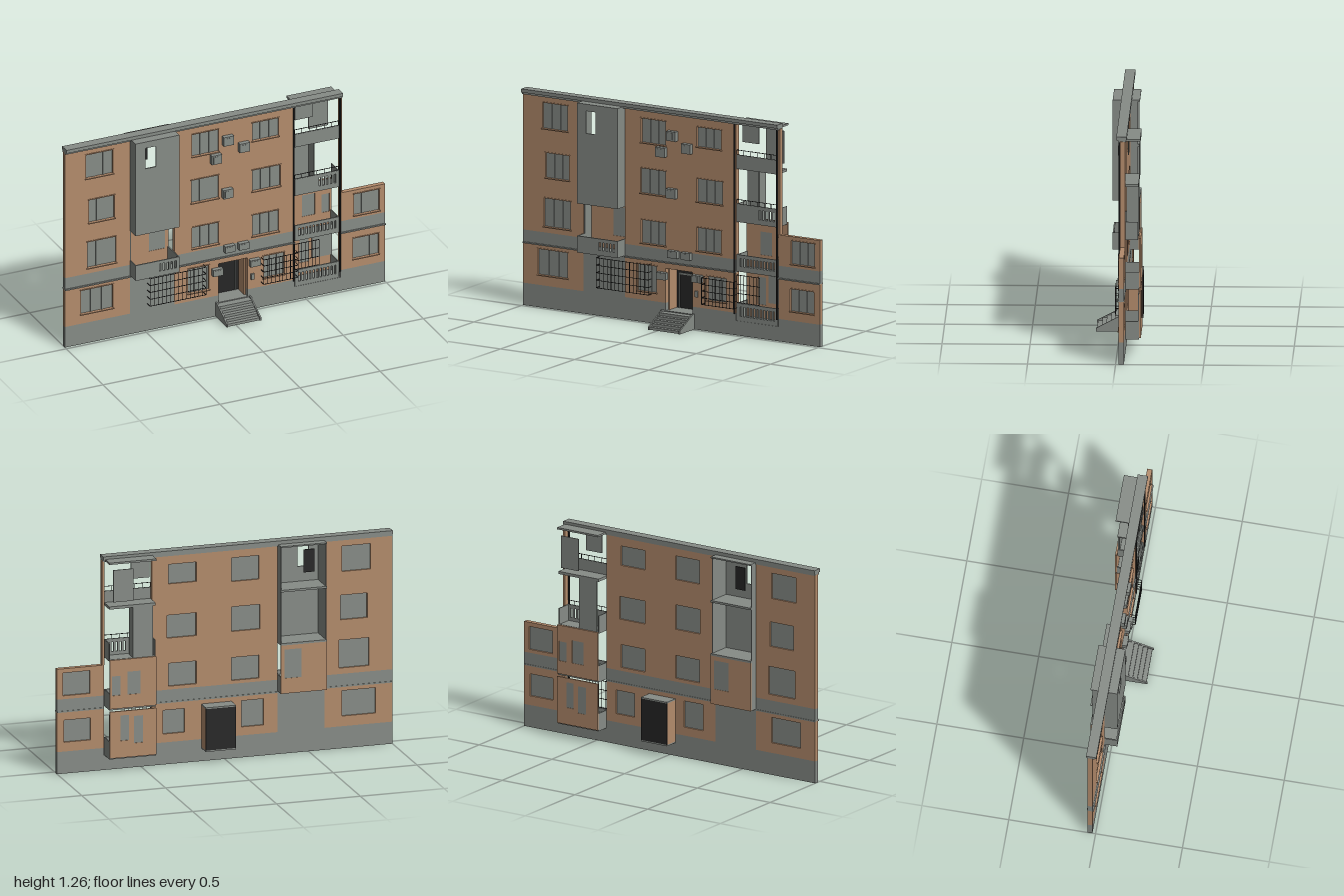
import * as THREE from 'three';

export function createModel() {
  const root = new THREE.Group();
  root.name = 'apartmentFacade';
  const mat = (name, color) => {
    const m = new THREE.MeshStandardMaterial({ color, side: THREE.DoubleSide });
    m.name = name;
    return m;
  };
  const brick = mat('brick', 0xb48c6c);
  const grey = mat('concreteGrey', 0x878c87);
  const black = mat('black', 0x262626);
  const BACK = -0.047, FRONT = -0.018;

  const group = (name) => {
    const g = new THREE.Group();
    g.name = name;
    root.add(g);
    return g;
  };
  // Box given by its limits on each axis
  const box = (parent, name, m, x0, x1, y0, y1, z0, z1) => {
    const mesh = new THREE.Mesh(new THREE.BoxGeometry(x1 - x0, y1 - y0, z1 - z0), m);
    mesh.position.set((x0 + x1) / 2, (y0 + y1) / 2, (z0 + z1) / 2);
    mesh.name = name;
    parent.add(mesh);
    return mesh;
  };
  // Upright slab with rectangular holes [x0, x1, y0, y1]
  const slab = (parent, name, m, x0, x1, y0, y1, z0, z1, holes = []) => {
    const rect = (p, a, b, c, d) => p.moveTo(a, c).lineTo(b, c).lineTo(b, d).lineTo(a, d).closePath();
    const shape = rect(new THREE.Shape(), x0, x1, y0, y1);
    for (const h of holes) shape.holes.push(rect(new THREE.Path(), ...h));
    const geo = new THREE.ExtrudeGeometry(shape, { depth: z1 - z0, bevelEnabled: false });
    const mesh = new THREE.Mesh(geo, m);
    mesh.position.z = z0;
    mesh.name = name;
    parent.add(mesh);
  };

  // Windows [x0, x1, y0, y1]
  const windows = [
    [-0.87, -0.7, 1.045, 1.195], [-0.85, -0.69, 0.76, 0.905], [-0.86, -0.68, 0.475, 0.64], [-0.9, -0.7, 0.19, 0.34],
    [-0.205, -0.04, 1.045, 1.185], [-0.21, -0.04, 0.75, 0.895], [-0.205, -0.04, 0.46, 0.595], [-0.23, -0.1, 0.18, 0.335],
    [0.17, 0.335, 1.065, 1.18], [0.17, 0.345, 0.745, 0.88], [0.17, 0.335, 0.46, 0.595], [0.24, 0.37, 0.18, 0.32],
    [0.805, 0.965, 0.46, 0.595], [0.8, 0.96, 0.185, 0.315],
  ];

  // Walls, pierced by the windows that fall inside each panel
  const walls = group('walls');
  const wall = (m, x0, x1, y0, y1) => slab(walls, m === brick ? 'brickWall' : 'greyWall', m, x0, x1, y0, y1, BACK, FRONT,
    windows.filter((w) => w[0] > x0 && w[1] < x1 && w[2] > y0 && w[3] < y1));
  wall(grey, -1, 1, 0, 0.085);
  for (const [a, b] of [[-1, -0.04], [0.14, 0.435], [0.72, 1]]) wall(grey, a, b, 0.085, 0.13);
  for (const [a, b] of [[-1, -0.595], [-0.315, -0.04], [0.14, 0.435], [0.72, 1]]) wall(brick, a, b, 0.13, 0.365);
  wall(brick, -0.04, 0.14, 0.33, 0.365);
  wall(grey, -0.595, -0.315, 0.13, 0.37);
  for (const [a, b] of [[-1, -0.595], [-0.315, 0.435], [0.72, 1]]) {
    wall(grey, a, b, 0.365, 0.44);
    box(walls, 'ledge', grey, a, b, 0.362, 0.37, BACK - 0.003, FRONT + 0.008);
  }
  wall(brick, -1, -0.595, 0.44, 1.235);
  wall(brick, -0.315, 0.435, 0.44, 1.235);
  wall(brick, 0.72, 1, 0.44, 0.62);
  wall(brick, 0.718, 0.731, 0.62, 1.235);

  // Panes, mullions and sills
  const glazing = group('windows');
  for (const [a, b, c, d] of windows) {
    box(glazing, 'pane', grey, a, b, c, d, -0.037, -0.03);
    for (const t of [0.33, 0.67]) {
      const x = a + (b - a) * t;
      box(glazing, 'mullion', grey, x - 0.003, x + 0.003, c, d, -0.03, -0.025);
    }
    box(glazing, 'sill', brick, a - 0.005, b + 0.005, c - 0.006, c, FRONT, FRONT + 0.007);
    box(glazing, 'lintel', brick, a - 0.005, b + 0.005, d, d + 0.005, FRONT, FRONT + 0.004);
  }

  // Cornice and roof over the corner balconies
  const roof = group('roof');
  box(roof, 'cornice', grey, -1, 0.727, 1.242, 1.262, -0.055, 0.004);
  box(roof, 'corniceTrim', grey, -1, 0.727, 1.23, 1.242, -0.05, -0.006);
  box(roof, 'balconyRoof', grey, 0.435, 0.715, 1.235, 1.246, -0.132, -0.045);

  // Parapet with a row of slots in its front
  const parapet = (g, x0, x1, y0, y1, z0, z1, s0, s1) => {
    const holes = [];
    const n = Math.round((s1 - s0) / 0.022);
    for (let i = 0; i < n; i++) {
      const x = s0 + ((s1 - s0) * (i + 0.25)) / n;
      holes.push([x, x + 0.011, y0 + 0.03, y1 - 0.02]);
    }
    slab(g, 'parapetFront', grey, x0, x1, y0, y1, z1 - 0.008, z1, holes);
    for (const x of [x0, x1 - 0.006]) box(g, 'parapetSide', grey, x, x + 0.006, y0, y1, z0, z1 - 0.008);
    box(g, 'floor', grey, x0, x1, y0, y0 + 0.01, z0, z1);
  };

  // Enclosed left bay
  const bay = group('leftBay');
  const L = -0.592, R = -0.318;
  slab(bay, 'bayFront', grey, L, R, 0.655, 1.24, 0.047, 0.055, [[-0.53, -0.465, 1.07, 1.2]]);
  for (const x of [L, R - 0.006]) box(bay, 'baySide', grey, x, x + 0.006, 0.655, 1.24, -0.088, 0.047);
  box(bay, 'bayTop', grey, L, R, 1.232, 1.24, -0.1, 0.047);
  box(bay, 'upperFloor', grey, L, R, 0.97, 0.982, -0.1, 0.047);
  box(bay, 'middleFloor', grey, L, R, 0.655, 0.667, -0.1, 0.047);
  box(bay, 'darkWindow', black, -0.53, -0.465, 1.065, 1.2, -0.063, -0.058);
  slab(bay, 'lowerBack', brick, L, R, 0.37, 0.655, -0.1, -0.092, [[-0.44, -0.34, 0.46, 0.63]]);
  box(bay, 'lowerWindow', grey, -0.44, -0.34, 0.46, 0.63, -0.098, -0.094);
  box(bay, 'lowerSide', grey, L, L + 0.006, 0.37, 0.655, -0.092, -0.02);
  parapet(bay, L, R, 0.37, 0.467, -0.092, 0.055, -0.45, -0.33);

  // Open corner balconies
  const corner = group('cornerBalconies');
  const A = 0.437, B = 0.713;
  const bars = (g, x0, x1, y0, y1, z, n, rows) => {
    for (let i = 0; i <= n; i++) {
      const x = x0 + ((x1 - x0) * i) / n;
      box(g, 'bar', black, x - 0.0012, x + 0.0012, y0, y1, z - 0.0012, z + 0.0012);
    }
    for (let j = 0; j < rows; j++) {
      const y = y0 + ((y1 - y0) * j) / (rows - 1);
      box(g, 'rail', black, x0, x1, y - 0.0015, y + 0.0015, z - 0.0015, z + 0.0015);
    }
  };
  parapet(corner, A, B, 0.082, 0.187, -0.125, -0.02, 0.455, 0.7);
  parapet(corner, A, B, 0.372, 0.47, -0.125, -0.02, 0.455, 0.7);
  parapet(corner, A, B, 0.66, 0.765, -0.12, -0.02, 0.58, 0.7);
  const backs = [
    [0.09, 0.365, [[0.515, 0.57, 0.17, 0.33], [0.6, 0.65, 0.19, 0.34]]],
    [0.382, 0.67, [[0.53, 0.61, 0.46, 0.595], [0.65, 0.7, 0.46, 0.575]]],
  ];
  for (const [y0, y1, holes] of backs) {
    slab(corner, 'balconyBack', brick, A, B, y0, y1, -0.135, -0.125, holes);
    for (const h of holes) box(corner, 'balconyWindow', grey, ...h, -0.132, -0.127);
  }
  box(corner, 'lowerDoor', grey, 0.59, B, 0.187, 0.345, -0.124, -0.119);
  bars(corner, 0.437, 0.59, 0.19, 0.35, -0.024, 7, 4);
  box(corner, 'thirdFloorBack', grey, 0.452, 0.572, 0.66, 0.972, -0.12, -0.113);
  box(corner, 'thirdFloorSide', grey, 0.566, 0.572, 0.66, 0.972, -0.113, -0.05);
  box(corner, 'topFloor', grey, A, B, 0.968, 0.984, -0.122, -0.02);
  box(corner, 'topParapet', grey, A, B, 0.968, 1.05, -0.028, -0.02);
  bars(corner, A, B, 1.05, 1.078, -0.024, 6, 2);
  bars(corner, A, B, 0.765, 0.79, -0.024, 6, 2);
  box(corner, 'topScreen', grey, 0.57, 0.69, 1.01, 1.2, -0.128, -0.123);
  box(corner, 'topPanel', grey, 0.455, 0.565, 1.12, 1.235, -0.063, -0.057);

  // Drainpipes
  for (const x of [0.427, 0.715]) {
    const pipe = new THREE.Mesh(new THREE.CylinderGeometry(0.005, 0.005, 1.11, 8), black);
    pipe.position.set(x, 0.68, -0.012);
    pipe.name = 'drainpipe';
    root.add(pipe);
  }

  // Recessed entrance
  const entry = group('entrance');
  for (const x of [-0.04, 0.132]) box(entry, 'entrySide', brick, x, x + 0.008, 0.085, 0.33, -0.128, BACK);
  box(entry, 'entryRoof', grey, -0.04, 0.14, 0.33, 0.338, -0.132, BACK);
  box(entry, 'entryFloor', grey, -0.04, 0.14, 0.077, 0.085, -0.132, FRONT);
  box(entry, 'entryBack', black, -0.04, 0.14, 0.085, 0.33, -0.132, -0.126);
  for (const x of [-0.016, 0.108]) box(entry, 'doorJamb', grey, x, x + 0.004, 0.085, 0.285, -0.126, -0.12);
  box(entry, 'doorHead', grey, -0.016, 0.112, 0.281, 0.289, -0.126, -0.12);
  box(entry, 'doorbell', grey, 0.16, 0.18, 0.19, 0.225, FRONT, -0.008);

  // Steps between sloping cheeks
  const steps = group('steps');
  for (let i = 0; i < 5; i++) {
    box(steps, 'step', grey, -0.052, 0.148, 0, 0.016 * (i + 1), FRONT, 0.13 - i * 0.026);
  }
  const cheek = new THREE.Shape([[0.02, 0], [-0.137, 0], [-0.137, 0.018], [0, 0.09], [0.02, 0.09]]
    .map(([x, y]) => new THREE.Vector2(x, y)));
  for (const x of [-0.06, 0.148]) {
    const m = new THREE.Mesh(new THREE.ExtrudeGeometry(cheek, { depth: 0.008, bevelEnabled: false }), grey);
    m.rotation.y = Math.PI / 2;
    m.position.x = x;
    m.name = 'stepCheek';
    steps.add(m);
  }

  // Air conditioners
  const units = group('airConditioners');
  for (const [x, y] of [[0.012, 1.11], [-0.062, 1.008], [0.112, 1.048], [0.01, 0.775], [0.02, 0.422], [0.108, 0.422], [-0.055, 0.288], [0.18, 0.3]]) {
    const h = y > 0.5 ? 0.028 : 0.021;
    box(units, 'airConditioner', grey, x - 0.031, x + 0.031, y - h, y + h, FRONT, 0.01);
    box(units, 'grille', grey, x - 0.022, x + 0.012, y - h * 0.7, y + h * 0.7, 0.01, 0.012);
  }

  // Projecting window cages
  const cages = group('windowCages');
  for (const [x0, x1, y0, y1] of [[-0.485, -0.135, 0.17, 0.345], [0.225, 0.44, 0.16, 0.315]]) {
    bars(cages, x0, x1, y0, y1, 0.018, Math.round((x1 - x0) / 0.025), 5);
    for (const x of [x0, x1]) {
      for (let j = 0; j < 5; j++) {
        const y = y0 + ((y1 - y0) * j) / 4;
        box(cages, 'sideBar', black, x - 0.0015, x + 0.0015, y - 0.0015, y + 0.0015, FRONT, 0.018);
      }
    }
  }
  return root;
}
